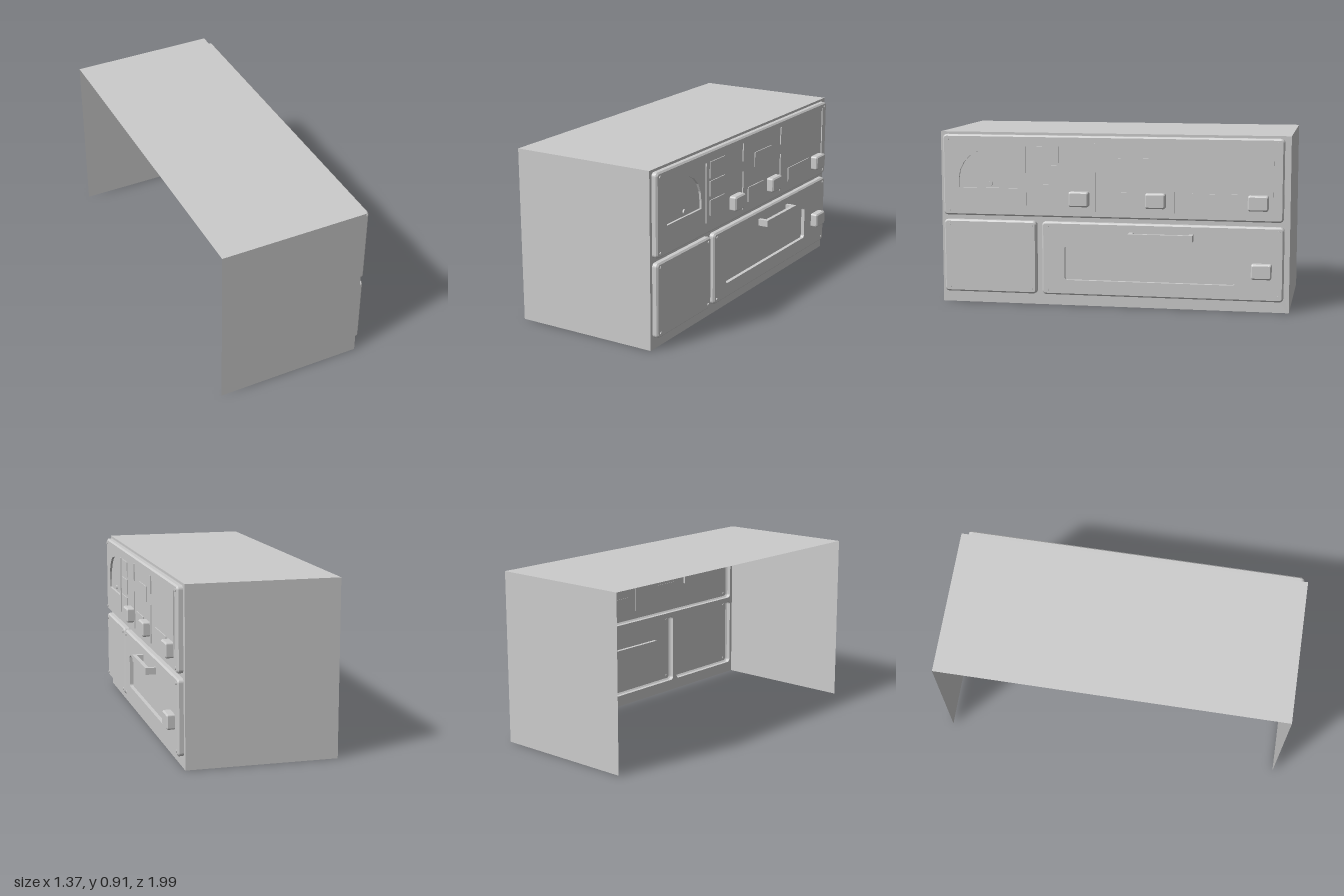
import * as THREE from 'three';

const solid = new THREE.MeshStandardMaterial({ color: 0xcccccc });
const sheet = new THREE.MeshStandardMaterial({ color: 0xcccccc, side: THREE.DoubleSide });

const W = 1.836, H = 0.908, D = 0.778; // cabinet width, height, depth
const FACE = 0.03; // how far the panels stand out of the front

// Rounded rectangle outline between two corners
function roundRect(x0, y0, x1, y1, r) {
  const s = new THREE.Shape();
  s.absarc(x1 - r, y0 + r, r, -Math.PI / 2, 0);
  s.absarc(x1 - r, y1 - r, r, 0, Math.PI / 2);
  s.absarc(x0 + r, y1 - r, r, Math.PI / 2, Math.PI);
  s.absarc(x0 + r, y0 + r, r, Math.PI, Math.PI * 1.5);
  s.closePath();
  return s;
}

// Half-round outline of the gauge
function arch(cx, y0, ySpring, r) {
  const s = new THREE.Shape();
  s.moveTo(cx - r, y0);
  s.lineTo(cx + r, y0);
  s.absarc(cx, ySpring, r, 0, Math.PI);
  s.closePath();
  return s;
}

function add(parent, name, geometry, material = solid, x = 0, y = 0, z = 0) {
  const mesh = new THREE.Mesh(geometry, material);
  mesh.name = name;
  mesh.position.set(x, y, z);
  parent.add(mesh);
  return mesh;
}

// Strip of wall joining outlines at successive depths: [[shape, z], ...]
function loft(sections) {
  const loops = sections.map(([s, z]) => s.getPoints(5).map(p => [p.x, p.y, z]));
  const pos = [];
  for (let k = 0; k + 1 < loops.length; k++) {
    const a = loops[k], b = loops[k + 1], n = a.length;
    for (let i = 0; i < n; i++) {
      const j = (i + 1) % n;
      pos.push(...a[i], ...a[j], ...b[j], ...a[i], ...b[j], ...b[i]);
    }
  }
  const g = new THREE.BufferGeometry();
  g.setAttribute('position', new THREE.Float32BufferAttribute(pos, 3));
  g.computeVertexNormals();
  return g;
}

function box(parent, name, x0, y0, x1, y1, z0, z1) {
  add(parent, name, new THREE.BoxGeometry(x1 - x0, y1 - y0, z1 - z0), solid,
    (x0 + x1) / 2, (y0 + y1) / 2, (z0 + z1) / 2);
}

// Hollow chamfered panel with corner bolts and an optional recess
function panel(parent, name, [x0, y0, x1, y1], recess, depth) {
  const group = new THREE.Group();
  group.name = name;
  parent.add(group);
  const c = 0.008, r = 0.02;
  const outer = roundRect(x0, y0, x1, y1, r);
  const inner = roundRect(x0 + c, y0 + c, x1 - c, y1 - c, r - c);
  add(group, 'panelEdge', loft([[outer, 0], [outer, FACE - c], [inner, FACE]]), sheet);
  if (recess) {
    inner.holes.push(recess);
    add(group, 'recessWall', loft([[recess, FACE], [recess, FACE - depth]]), sheet);
    add(group, 'recessFace', new THREE.ShapeGeometry(recess, 12), sheet, 0, 0, FACE - depth);
  }
  add(group, 'panelFace', new THREE.ShapeGeometry(inner, 5), sheet, 0, 0, FACE);
  const bolt = new THREE.CylinderGeometry(0.008, 0.008, 0.006, 8).rotateX(Math.PI / 2);
  for (const x of [x0 + 0.028, x1 - 0.028])
    for (const y of [y0 + 0.024, y1 - 0.024]) add(group, 'bolt', bolt, solid, x, y, FACE + 0.001);
  return group;
}

// Square knob with chamfered front
function knob(parent, x, y) {
  const w = 0.052, h = 0.039, c = 0.007, z = 0.07;
  const g = new THREE.Group();
  g.name = 'knob';
  g.position.set(x, y, 0);
  parent.add(g);
  const base = roundRect(-w, -h, w, h, 0.01);
  const front = roundRect(-w + c, -h + c, w - c, h - c, 0.006);
  add(g, 'knobSide', loft([[base, FACE], [base, z - c], [front, z]]));
  add(g, 'knobFace', new THREE.ShapeGeometry(front, 5), solid, 0, 0, z);
}

export function createModel() {
  const model = new THREE.Group();
  const cabinet = new THREE.Group();
  cabinet.name = 'cabinet';
  cabinet.position.set(0.355, 0, 0.1225);
  cabinet.rotation.y = 1.238; // the cabinet stands turned towards its left
  model.add(cabinet);

  // Shell, open at the back and underneath
  add(cabinet, 'top', new THREE.PlaneGeometry(W, D).rotateX(-Math.PI / 2), sheet, 0, H, -D / 2);
  for (const s of [-1, 1])
    add(cabinet, 'side', new THREE.PlaneGeometry(D, H).rotateY(s * Math.PI / 2), sheet, s * W / 2, H / 2, -D / 2);

  // Front wall, cut out behind the hollow panels
  const upper = [-0.9, 0.47, 0.886, 0.895];
  const lowerSmall = [-0.9, 0.06, -0.4, 0.445];
  const lowerLarge = [-0.37, 0.06, 0.89, 0.445];
  const wall = roundRect(-W / 2, 0, W / 2, H, 0.001);
  for (const p of [upper, lowerSmall, lowerLarge]) wall.holes.push(roundRect(...p, 0.02));
  add(cabinet, 'frontWall', new THREE.ShapeGeometry(wall, 5), sheet);

  const controls = panel(cabinet, 'controlPanel', upper, arch(-0.657, 0.617, 0.66, 0.158), 0.012);
  panel(cabinet, 'smallPanel', lowerSmall);
  const door = panel(cabinet, 'door', lowerLarge, roundRect(-0.249, 0.14, 0.642, 0.32, 0.015), 0.02);

  // Gauge pivot
  add(controls, 'gaugePivot', new THREE.CylinderGeometry(0.012, 0.012, 0.008, 12).rotateX(Math.PI / 2),
    solid, -0.645, 0.64, FACE - 0.008);

  // Low plates: three small displays, one upper display and two backing the knobs
  for (const [x0, y0, x1, y1] of [
    [-0.42, 0.755, -0.275, 0.84], [-0.42, 0.66, -0.275, 0.74], [-0.42, 0.56, -0.275, 0.64],
    [0.037, 0.705, 0.225, 0.785], [-0.03, 0.53, 0.14, 0.61], [0.42, 0.53, 0.67, 0.61],
  ]) box(controls, 'displayPlate', x0, y0, x1, y1, FACE - 0.002, FACE + 0.005);

  // Upright divider ribs
  for (const [x, y0, y1] of [
    [-0.455, 0.53, 0.84], [-0.085, 0.765, 0.86], [-0.085, 0.505, 0.71],
    [0.327, 0.765, 0.86], [0.327, 0.505, 0.71], [0.83, 0.58, 0.865],
  ]) box(controls, 'divider', x - 0.004, y0, x + 0.004, y1, FACE - 0.002, FACE + 0.006);

  // Knobs
  for (const x of [-0.167, 0.233, 0.758]) knob(controls, x, 0.57);
  knob(door, 0.778, 0.22);

  // Door handle: bar on two posts
  box(door, 'handleBar', 0.094, 0.365, 0.428, 0.4, 0.065, 0.085);
  for (const x of [0.094, 0.406]) box(door, 'handlePost', x, 0.365, x + 0.022, 0.4, FACE, 0.066);

  return model;
}
